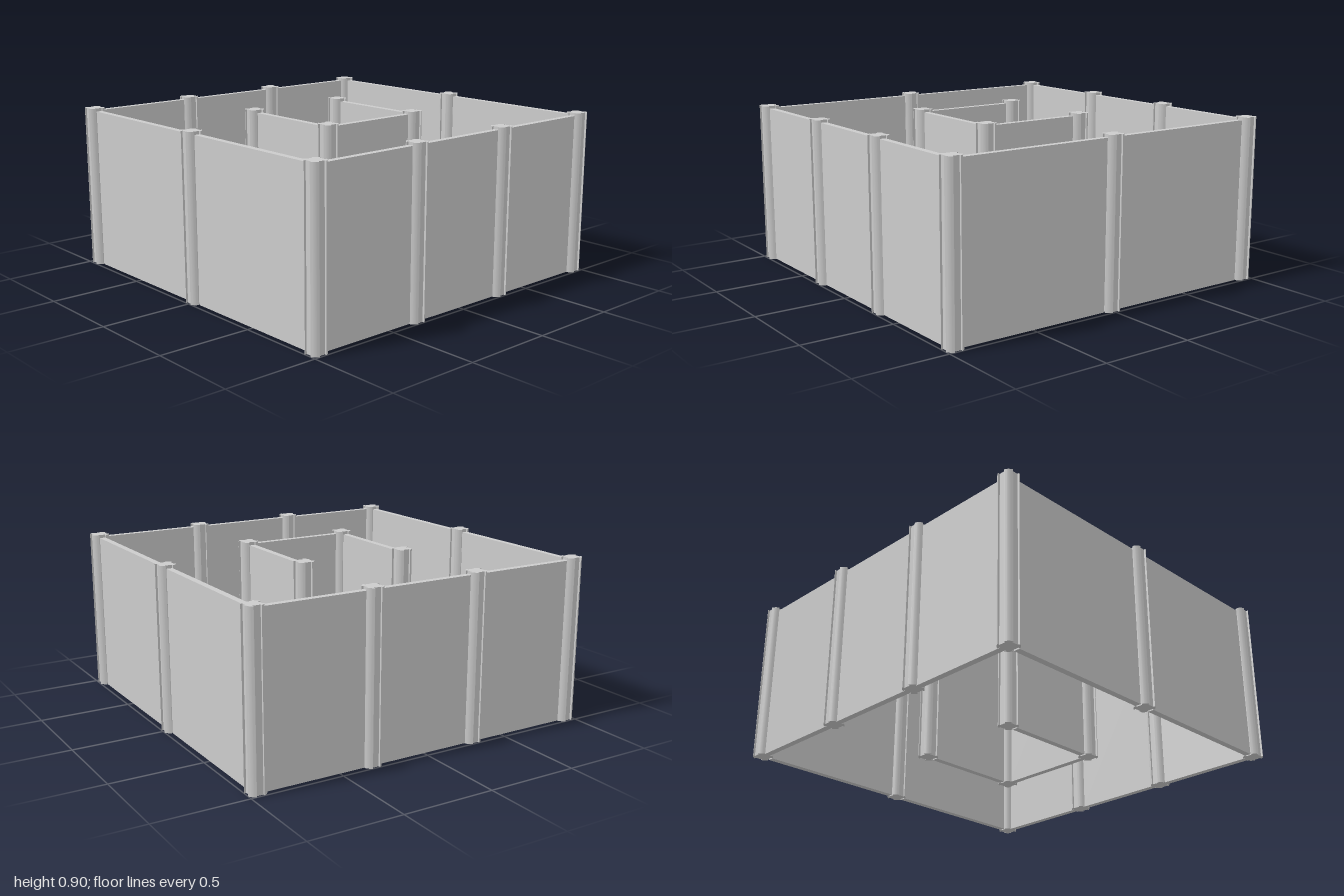
import * as THREE from 'three';
import { toCreasedNormals } from 'three/addons/utils/BufferGeometryUtils.js';

const POST_H = 0.905, WALL_H = 0.89;
const OUTER = 0.95, INNER = 0.31;
const RADIUS = 0.054, SLOT = 0.02, SLOT_FLOOR = 0.039, WALL_T = 0.034;

// Round post with a shallow vertical slot on each of its four sides
function postGeometry() {
  const a = Math.asin(SLOT / RADIUS);
  const points = [];
  for (let q = 0; q < 4; q++) {
    const turn = q * Math.PI / 2;
    const steps = 8;
    for (let i = 0; i <= steps; i++) {
      const t = turn + a + (Math.PI / 2 - 2 * a) * i / steps;
      points.push(new THREE.Vector2(Math.cos(t), Math.sin(t)).multiplyScalar(RADIUS));
    }
    // slot floor at the end of this quarter
    const origin = new THREE.Vector2();
    points.push(new THREE.Vector2(SLOT, SLOT_FLOOR).rotateAround(origin, turn));
    points.push(new THREE.Vector2(-SLOT, SLOT_FLOOR).rotateAround(origin, turn));
  }
  const geo = new THREE.ExtrudeGeometry(new THREE.Shape(points), { depth: POST_H, bevelEnabled: false });
  geo.rotateX(-Math.PI / 2);
  return toCreasedNormals(geo, Math.PI / 7);
}

export function createModel() {
  const model = new THREE.Group();
  model.name = 'walledEnclosure';
  const material = new THREE.MeshStandardMaterial({ color: 0xcccccc });
  const postGeo = postGeometry();

  function addPost(name, x, z) {
    const post = new THREE.Mesh(postGeo, material);
    post.name = name;
    post.position.set(x, 0, z);
    model.add(post);
  }

  // Panel between two neighbouring posts; panels along x sit in the slots
  function addWall(name, x0, z0, x1, z1) {
    const alongX = z0 === z1;
    const length = Math.abs(alongX ? x1 - x0 : z1 - z0) - 2 * (alongX ? SLOT_FLOOR : 0.05);
    const geo = new THREE.BoxGeometry(alongX ? length : WALL_T, WALL_H, alongX ? WALL_T : length);
    const wall = new THREE.Mesh(geo, material);
    wall.name = name;
    wall.position.set((x0 + x1) / 2, WALL_H / 2, (z0 + z1) / 2);
    model.add(wall);
  }

  // Outer front and back rows: four posts, three panels
  const xs = [-OUTER, -INNER, INNER, OUTER];
  for (const z of [-OUTER, OUTER]) {
    const row = z > 0 ? 'front' : 'back';
    xs.forEach((x, i) => {
      addPost(row + 'Post', x, z);
      if (i > 0) addWall(row + 'Wall', xs[i - 1], z, x, z);
    });
  }

  // Outer sides and inner room sides, mirrored
  for (const s of [-1, 1]) {
    const side = s > 0 ? 'left' : 'right';
    addPost(side + 'MiddlePost', s * OUTER, 0);
    addWall(side + 'BackWall', s * OUTER, -OUTER, s * OUTER, 0);
    addWall(side + 'FrontWall', s * OUTER, 0, s * OUTER, OUTER);
    addPost(side + 'InnerBackPost', s * INNER, -INNER);
    addPost(side + 'InnerFrontPost', s * INNER, INNER);
    addWall(side + 'InnerWall', s * INNER, -INNER, s * INNER, INNER);
  }

  // Inner room is open at the back
  addWall('innerFrontWall', -INNER, INNER, INNER, INNER);
  return model;
}
